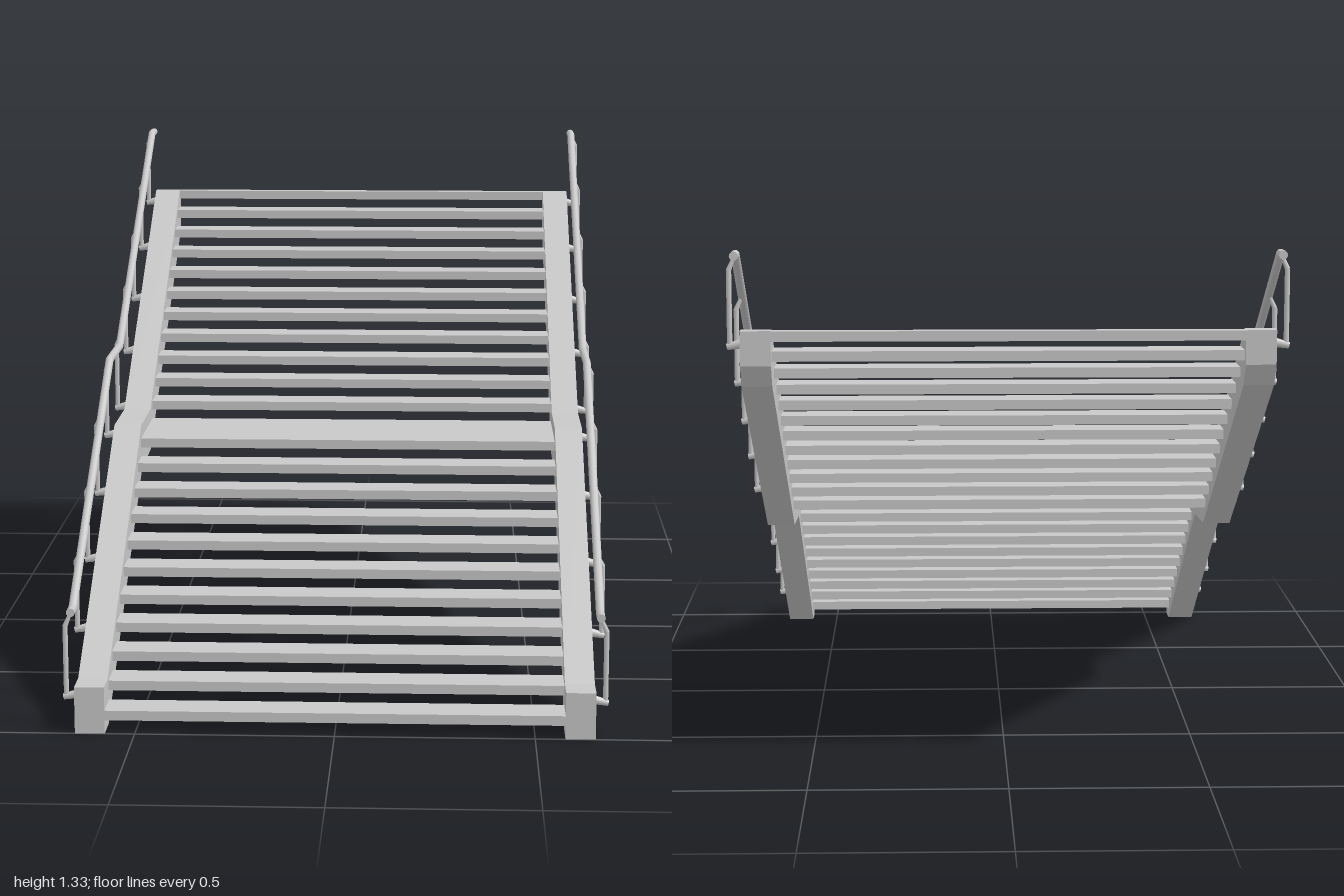
import * as THREE from 'three';

export function createModel() {
  const model = new THREE.Group();
  model.name = 'staircase';
  const steel = new THREE.MeshStandardMaterial({ color: 0xc8c8c8 });
  steel.name = 'pale grey steel';

  const add = (parent, name, geometry) => {
    const mesh = new THREE.Mesh(geometry, steel);
    mesh.name = name;
    parent.add(mesh);
    return mesh;
  };

  // straight rod between two points
  const rod = (parent, name, a, b, r0, r1 = r0, sides = 8) => {
    const dir = b.clone().sub(a);
    const mesh = add(parent, name, new THREE.CylinderGeometry(r1, r0, dir.length(), sides));
    mesh.position.copy(a).add(b).multiplyScalar(0.5);
    mesh.quaternion.setFromUnitVectors(new THREE.Vector3(0, 1, 0), dir.normalize());
  };

  // treads: ten steps, a landing, then eleven steps
  const rise = 0.0514, run = 0.084, thick = 0.025;
  for (let i = 0; i < 22; i++) {
    const landing = i === 10;
    const front = i <= 10 ? 1 - run * i : -0.118 - 0.0837 * (i - 11);
    const back = landing ? -0.124 : Math.max(front - 0.09, -0.988);
    const tread = add(model, landing ? 'landing' : 'tread',
      new THREE.BoxGeometry(1.16, thick, front - back));
    tread.position.set(0, 0.06 + rise * i - thick / 2, (front + back) / 2);
  }

  // side beam outline as [z, y]
  const outline = [[1, 0], [1, 0.12], [0.925, 0.12], [0.15, 0.61], [-0.07, 0.61], [-0.945, 1.14],
    [-0.985, 1.14], [-0.985, 1.055], [-0.945, 1.0], [-0.07, 0.495], [0.15, 0.482], [0.925, 0]];
  const beamShape = new THREE.Shape(outline.map(([z, y]) => new THREE.Vector2(-z, y)));
  const beamGeometry = new THREE.ExtrudeGeometry(beamShape, { depth: 0.075, bevelEnabled: false });
  beamGeometry.rotateY(Math.PI / 2);

  // handrail path as [z, y], and the posts below it as [z, foot height]
  const railPath = [[0.967, 0.303], [0.925, 0.303], [0.15, 0.795], [-0.065, 0.795],
    [-0.945, 1.322], [-1, 1.322]];
  const posts = [[0.96, 0.083], [0.75, 0.195], [0.54, 0.326], [0.33, 0.457], [0.118, 0.573],
    [-0.118, 0.604], [-0.33, 0.731], [-0.54, 0.856], [-0.75, 0.983], [-0.965, 1.1]];
  const railHeight = (z) => {
    const k = railPath.findIndex((p, i) => i > 0 && z >= p[0]);
    const [z0, y0] = railPath[k - 1], [z1, y1] = railPath[k];
    return y0 + (y1 - y0) * (z - z0) / (z1 - z0);
  };

  for (const side of [-1, 1]) {
    const half = new THREE.Group();
    half.name = side > 0 ? 'leftSide' : 'rightSide';
    model.add(half);
    const point = (x, y, z) => new THREE.Vector3(side * x, y, z);

    const beam = add(half, 'sideBeam', beamGeometry);
    beam.position.x = side > 0 ? 0.575 : -0.65;

    // handrail runs with rounded joints
    railPath.forEach(([z, y], i) => {
      if (i === 0) return;
      const [pz, py] = railPath[i - 1];
      rod(half, 'handrail', point(0.66, py, pz), point(0.66, y, z), 0.011, 0.011, 12);
      if (i < railPath.length - 1) {
        add(half, 'handrailJoint', new THREE.SphereGeometry(0.011, 12, 8))
          .position.copy(point(0.66, y, z));
      }
    });

    // posts, each with a foot bracket and a cranked neck
    for (const [z, foot] of posts) {
      const top = railHeight(z);
      rod(half, 'postBracket', point(0.645, foot + 0.008, z), point(0.682, foot, z), 0.012, 0.008);
      rod(half, 'post', point(0.675, foot, z), point(0.675, top - 0.035, z), 0.0065);
      rod(half, 'postNeck', point(0.675, top - 0.036, z), point(0.661, top - 0.003, z), 0.0065, 0.004);
    }
  }
  return model;
}
